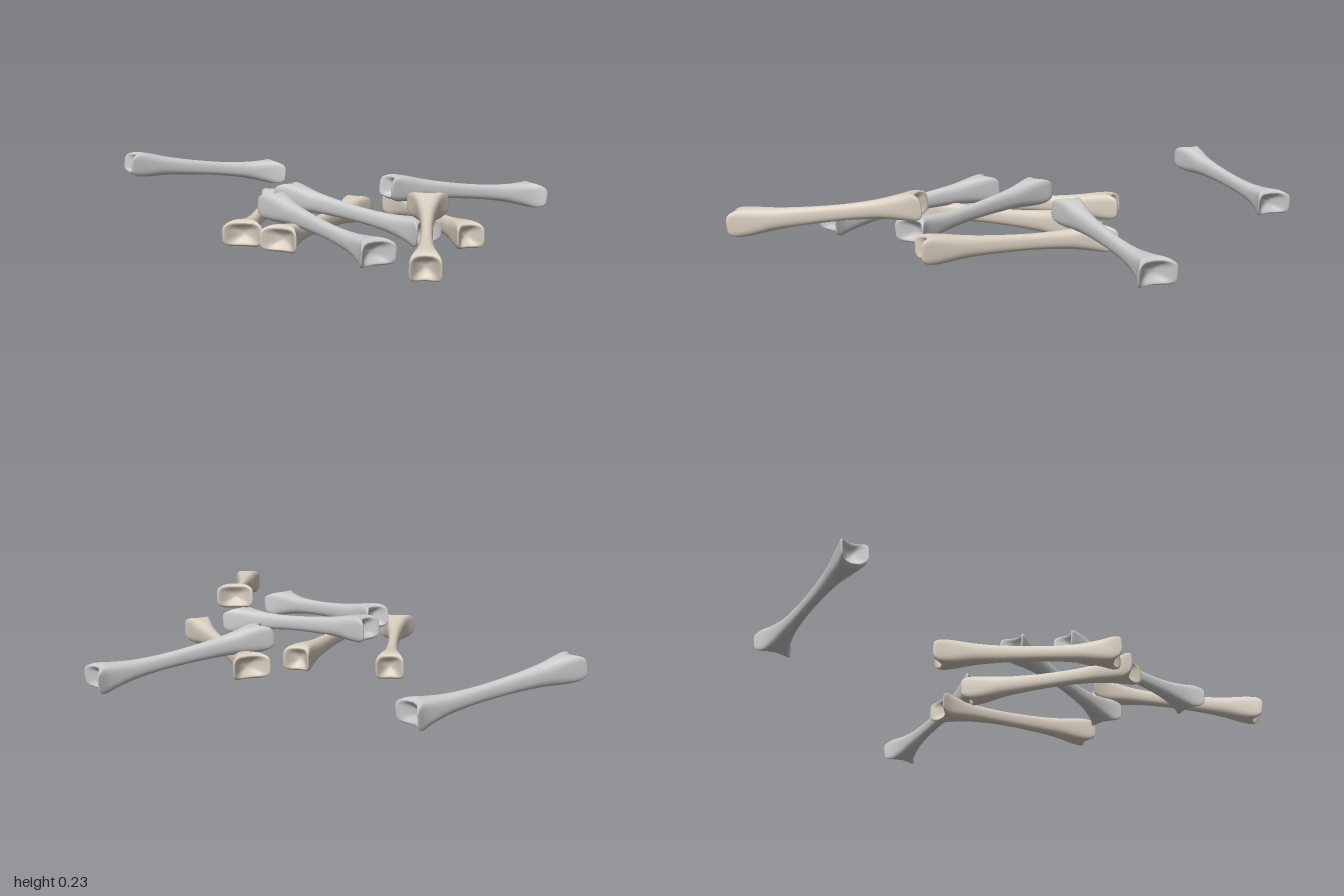
import * as THREE from 'three';
import { mergeVertices } from 'three/addons/utils/BufferGeometryUtils.js';

const SIDES = 32;

// Bone profile: position along the axis, half width, half height
const PROFILE = [
  [-0.338, 0.056, 0.048], [-0.325, 0.055, 0.053], [-0.29, 0.047, 0.053], [-0.23, 0.036, 0.046],
  [-0.16, 0.028, 0.039], [-0.05, 0.0225, 0.033], [0.07, 0.022, 0.031], [0.17, 0.027, 0.035],
  [0.24, 0.036, 0.042], [0.29, 0.051, 0.049], [0.322, 0.070, 0.053], [0.336, 0.079, 0.048],
].map((p) => new THREE.Vector3(...p));

// Cap rings: scale towards the middle, outward offset (rounded rim, then a dent)
const CAP = [[0.94, 0.006], [0.84, 0.007], [0.7, 0.002], [0.5, -0.007], [0.25, -0.013], [0, -0.015]];

// One closed loft along z: dished cap, flared shaft, dished cap
function boneGeometry() {
  const shaft = new THREE.CatmullRomCurve3(PROFILE).getPoints(44);
  const first = shaft[0], last = shaft[shaft.length - 1];
  const rings = [
    ...CAP.map(([k, out]) => ({ p: first, k, out: -out })).reverse(),
    ...shaft.map((p) => ({ p, k: 1, out: 0 })),
    ...CAP.map(([k, out]) => ({ p: last, k, out })),
  ];
  const positions = [], index = [];
  rings.forEach(({ p, k, out }, i) => {
    const end = THREE.MathUtils.smoothstep(Math.abs(p.x), 0.2, 0.335);
    const power = 2 / (2.4 + 1.8 * end);
    for (let j = 0; j < SIDES; j++) {
      const a = (j / SIDES) * Math.PI * 2;
      const c = Math.cos(a), s = Math.sin(a);
      const u = k * Math.sign(c) * Math.abs(c) ** power;
      const v = k * Math.sign(s) * Math.abs(s) ** power;
      // the two knuckles reach past the notch between them
      const knuckle = Math.sign(p.x) * 0.038 * end * u * u;
      positions.push(u * p.y, v * p.z, p.x + out + knuckle);
      if (i < rings.length - 1) {
        const n = (j + 1) % SIDES;
        const a0 = i * SIDES + j, b0 = i * SIDES + n;
        index.push(a0, b0, b0 + SIDES, a0, b0 + SIDES, a0 + SIDES);
      }
    }
  });
  const geometry = new THREE.BufferGeometry();
  geometry.setAttribute('position', new THREE.Float32BufferAttribute(positions, 3));
  geometry.setIndex(index);
  const merged = mergeVertices(geometry, 1e-5);
  merged.computeVertexNormals();
  return merged;
}

// Each bone runs from its narrow end to its wide end
const BONES = [
  { name: 'greyBoneFarRight', grey: true, from: [-0.955, 0.15, -0.255], to: [-0.48, 0.06, -0.84] },
  { name: 'greyBoneBack', grey: true, from: [0.315, 0.15, -0.255], to: [0.79, 0.06, -0.84] },
  { name: 'greyBoneMiddle', grey: true, from: [-0.024, 0.14, 0.011], to: [0.7, 0.08, 0.21] },
  { name: 'greyBoneFront', grey: true, from: [0.024, 0.14, 0.218], to: [0.665, 0.075, 0.603] },
  { name: 'paleBoneBack', from: [0.822, 0.056, 0.09], to: [0.301, 0.056, -0.445] },
  { name: 'paleBoneRight', from: [-0.203, 0.056, -0.254], to: [0.032, 0.056, 0.462] },
  { name: 'paleBoneMiddle', from: [0.192, 0.056, -0.264], to: [0.195, 0.056, 0.476] },
  { name: 'paleBoneTop', from: [0.941, 0.105, 0.851], to: [0.669, 0.19, 0.157] },
];

export function createModel() {
  const group = new THREE.Group();
  group.name = 'bonePile';
  const geometry = boneGeometry();
  const grey = new THREE.MeshStandardMaterial({ color: 0xcccccc });
  const pale = new THREE.MeshStandardMaterial({ color: 0xd9cfc0 });
  for (const { name, grey: isGrey, from, to } of BONES) {
    const bone = new THREE.Mesh(geometry, isGrey ? grey : pale);
    const a = new THREE.Vector3(...from), b = new THREE.Vector3(...to);
    bone.name = name;
    bone.position.copy(a).lerp(b, 0.5);
    bone.lookAt(b);
    group.add(bone);
  }
  return group;
}
